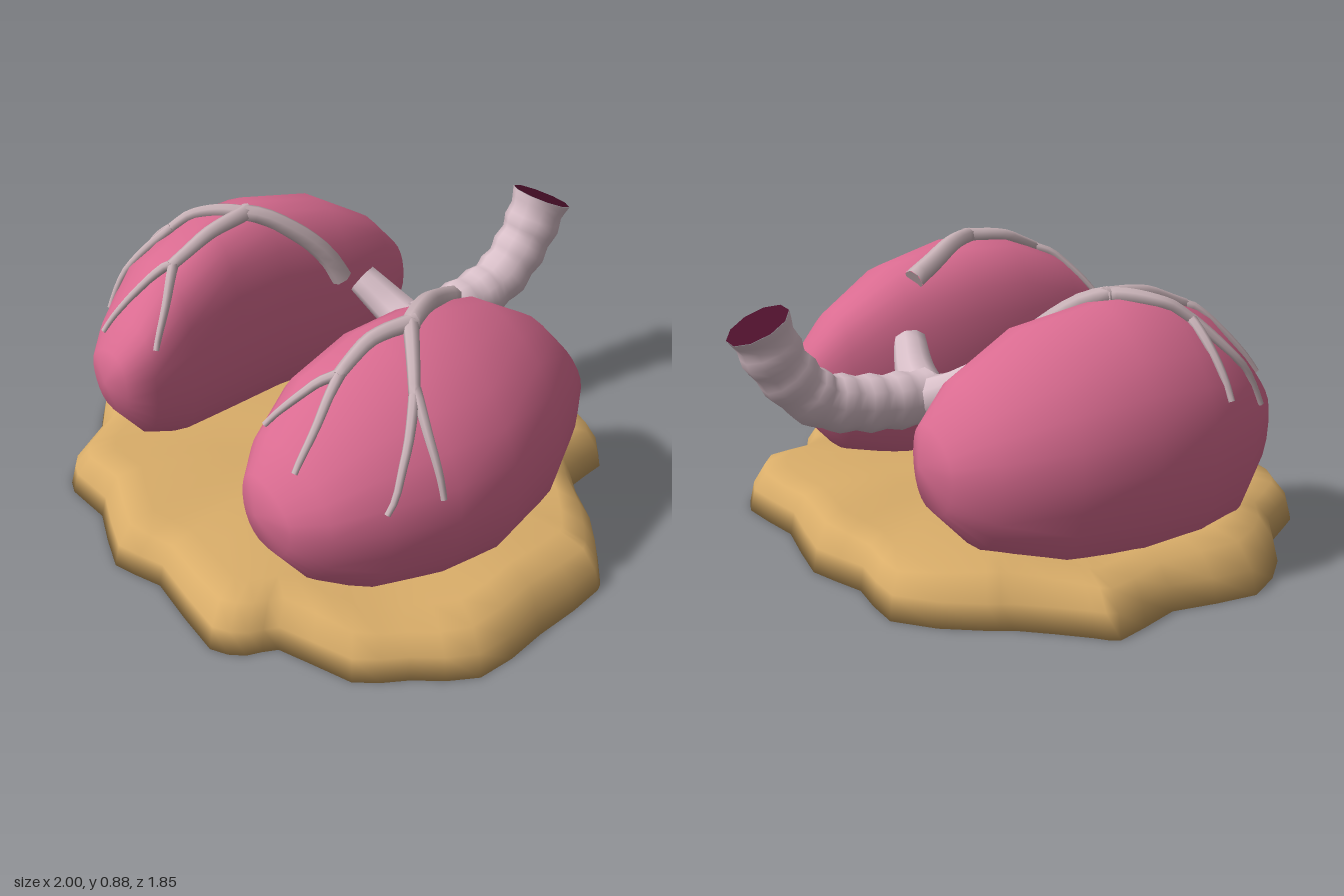
import * as THREE from 'three';
import { mergeVertices } from 'three/addons/utils/BufferGeometryUtils.js';

const V = (x, y, z) => new THREE.Vector3(x, y, z);
const material = (name, color) => {
  const m = new THREE.MeshStandardMaterial({ color });
  m.name = name;
  return m;
};

// Closed surface through equal-sized rings of points
function loft(rings) {
  const n = rings[0].length, index = [];
  for (let i = 0; i < rings.length - 1; i++) {
    for (let j = 0; j < n; j++) {
      const a = i * n + j, b = i * n + (j + 1) % n;
      index.push(a, b, a + n, b, b + n, a + n);
    }
  }
  const geo = new THREE.BufferGeometry().setFromPoints(rings.flat());
  geo.setIndex(index);
  const merged = mergeVertices(geo, 1e-4);
  merged.computeVertexNormals();
  return merged;
}

// Lung cross-sections: z, centre x, half width, top y, bottom y
const MID = 0.42;
const lungs = {
  rightLung: {
    lean: 0.07,
    sections: [
      [-0.53, -0.47, 0, 0.42, 0.42], [-0.5, -0.5, 0.12, 0.54, 0.28], [-0.4, -0.53, 0.2, 0.66, 0.17],
      [-0.2, -0.57, 0.275, 0.79, 0.09], [0.05, -0.6, 0.27, 0.845, 0.07], [0.25, -0.595, 0.275, 0.84, 0.07],
      [0.45, -0.555, 0.245, 0.755, 0.09], [0.6, -0.495, 0.185, 0.62, 0.18], [0.68, -0.475, 0.11, 0.53, 0.29],
      [0.71, -0.46, 0, 0.42, 0.42]],
    // Vessel paths over the surface: start radius, end radius, then x, z points
    vessels: [
      [0.038, 0.03, [-0.31, -0.16], [-0.4, 0], [-0.48, 0.12]],
      [0.03, 0.02, [-0.48, 0.1], [-0.465, 0.2], [-0.45, 0.43]],
      [0.018, 0.01, [-0.45, 0.42], [-0.5, 0.52], [-0.56, 0.64]],
      [0.018, 0.01, [-0.45, 0.42], [-0.38, 0.5], [-0.33, 0.58]],
      [0.026, 0.018, [-0.48, 0.12], [-0.58, 0.22], [-0.64, 0.32]],
      [0.018, 0.01, [-0.63, 0.31], [-0.72, 0.32], [-0.81, 0.34]],
      [0.018, 0.01, [-0.63, 0.31], [-0.7, 0.42], [-0.73, 0.52]]]
  },
  leftLung: {
    lean: -0.07,
    sections: [
      [-0.53, 0.41, 0, 0.42, 0.42], [-0.5, 0.42, 0.11, 0.54, 0.28], [-0.4, 0.43, 0.185, 0.66, 0.17],
      [-0.2, 0.455, 0.285, 0.79, 0.09], [0.05, 0.478, 0.337, 0.85, 0.07], [0.25, 0.468, 0.325, 0.84, 0.07],
      [0.45, 0.44, 0.28, 0.755, 0.09], [0.6, 0.425, 0.205, 0.62, 0.18], [0.68, 0.415, 0.12, 0.53, 0.29],
      [0.71, 0.4, 0, 0.42, 0.42]],
    vessels: [
      [0.038, 0.03, [0.26, -0.16], [0.3, -0.05], [0.4, 0.13]],
      [0.03, 0.02, [0.4, 0.11], [0.38, 0.27], [0.4, 0.4]],
      [0.018, 0.01, [0.4, 0.39], [0.35, 0.48], [0.28, 0.58]],
      [0.018, 0.01, [0.4, 0.39], [0.45, 0.51], [0.48, 0.62]],
      [0.026, 0.018, [0.39, 0.12], [0.51, 0.21], [0.59, 0.27]],
      [0.018, 0.01, [0.58, 0.26], [0.68, 0.29], [0.77, 0.3]],
      [0.018, 0.01, [0.58, 0.26], [0.66, 0.35], [0.72, 0.46]]]
  }
};

// Point of a lung section at angle a; the lower half is squarer
function lungPoint([z, cx, hw, top, bottom], lean, a) {
  const c = Math.cos(a), s = Math.sin(a);
  if (s >= 0) return V(cx + hw * (c + lean * 4 * s * s), MID + (top - MID) * s, z);
  return V(cx + hw * Math.sign(c) * Math.abs(c) ** 0.75, MID + (MID - bottom) * s, z);
}

// Point on the upper lung surface above x, z
function onLung({ sections, lean }, x, z) {
  const i = Math.max(1, sections.findIndex(s => s[0] >= z));
  const p = sections[i - 1], q = sections[i], t = (z - p[0]) / (q[0] - p[0]);
  const section = p.map((v, k) => v + (q[k] - v) * t);
  let lo = 0.2, hi = Math.PI - 0.2;
  for (let k = 0; k < 20; k++) {
    const a = (lo + hi) / 2;
    if (lungPoint(section, lean, a).x > x) lo = a; else hi = a;
  }
  return lungPoint(section, lean, lo).add(V(0, 0.008, 0));
}

// Tube with a varying radius and flat ends
function taperedTube(points, radiusAt, steps, sides) {
  const curve = new THREE.CatmullRomCurve3(points);
  const geo = new THREE.TubeGeometry(curve, steps, 1, sides);
  const pos = geo.attributes.position, v = V(0, 0, 0), rings = [];
  for (let i = 0; i <= steps; i++) {
    const c = curve.getPointAt(i / steps), r = radiusAt(i / steps), ring = [];
    for (let j = 0; j < sides; j++) {
      v.fromBufferAttribute(pos, i * (sides + 1) + j);
      ring.push(v.clone().sub(c).multiplyScalar(r).add(c));
    }
    rings.push(ring);
  }
  const group = new THREE.Group();
  const side = loft(rings.map(r => r.slice().reverse()));
  // Turn the wall outward if the ring order runs the other way
  const n = V(0, 0, 0).fromBufferAttribute(side.attributes.normal, 0);
  const p = V(0, 0, 0).fromBufferAttribute(side.attributes.position, 0);
  if (n.dot(p.sub(curve.getPointAt(0))) < 0) {
    side.setIndex(Array.from(side.index.array).reverse());
    side.computeVertexNormals();
  }
  return { group, side, curve };
}

function tubeMesh(name, mat, endMat, points, radiusAt, steps, sides) {
  const { group, side, curve } = taperedTube(points, radiusAt, steps, sides);
  group.name = name;
  group.add(new THREE.Mesh(side, mat));
  for (const [u, dir] of [[0, -1], [1, 1]]) {
    const cap = new THREE.Mesh(new THREE.CircleGeometry(radiusAt(u) * 0.99, sides), u ? endMat : mat);
    const t = curve.getTangentAt(u).multiplyScalar(dir);
    cap.position.copy(curve.getPointAt(u)).addScaledVector(t, 0.001);
    cap.quaternion.setFromUnitVectors(V(0, 0, 1), t);
    cap.name = name + 'End';
    group.add(cap);
  }
  return group;
}

// Scalloped base rim: x, z points
const rim = [
  [0.95, -0.2], [0.98, 0.08], [1, 0.34], [0.88, 0.51], [0.78, 0.65], [0.54, 0.74], [0.5, 0.83], [0.41, 0.9],
  [0.08, 0.87], [-0.09, 0.93], [-0.33, 0.84], [-0.5, 0.85], [-0.59, 0.8], [-0.69, 0.64], [-0.82, 0.55],
  [-0.97, 0.34], [-0.93, 0.06], [-1, -0.17], [-0.95, -0.23], [-0.8, -0.4], [-0.76, -0.47], [-0.57, -0.68],
  [-0.35, -0.67], [-0.16, -0.74], [0.14, -0.69], [0.39, -0.73], [0.51, -0.66], [0.53, -0.5], [0.76, -0.37],
  [0.92, -0.24]];

export function createModel() {
  const model = new THREE.Group();
  const pink = material('lung pink', 0xd96b90);
  const tan = material('base tan', 0xd9ad69);
  const pale = material('airway pale pink', 0xd9c0c9);
  const grey = material('vessel pinkish grey', 0xc9b3b8);
  const dark = material('dark opening', 0x4a0f2a);

  // Base slab, rings from the top centre out and down to the underside
  const outline = new THREE.CatmullRomCurve3(rim.map(([x, z]) => V(x, 0, z)), true, 'centripetal').getPoints(60).slice(0, 60);
  const slab = [[0, 0.16], [0.5, 0.16], [0.84, 0.168], [0.93, 0.145], [0.98, 0.08], [1, 0.005], [0, 0.005]];
  const base = new THREE.Mesh(loft(slab.map(([s, y]) => outline.map(p => {
    const bump = s > 0.8 && y > 0.1 ? 0.014 * Math.sin(7 * Math.atan2(p.z, p.x) + 1) : 0;
    return V(p.x * s, y + bump, p.z * s);
  }))), tan);
  base.name = 'base';
  model.add(base);

  // Lungs with their branching vessels
  for (const [name, lung] of Object.entries(lungs)) {
    const rings = lung.sections.map(s =>
      Array.from({ length: 24 }, (_, j) => lungPoint(s, lung.lean, j * Math.PI / 12)));
    const mesh = new THREE.Mesh(loft(rings), pink);
    mesh.name = name;
    model.add(mesh);
    for (const [r0, r1, ...path] of lung.vessels) {
      const flat = new THREE.SplineCurve(path.map(([x, z]) => new THREE.Vector2(x, z))).getPoints(6);
      model.add(tubeMesh(name + 'Vessel', grey, grey, flat.map(p => onLung(lung, p.x, p.y)),
        u => r0 + (r1 - r0) * u, 10, 7));
    }
  }

  // Ribbed windpipe with a dark open end
  model.add(tubeMesh('windpipe', pale, dark,
    [V(-0.035, 0.46, -0.27), V(-0.035, 0.475, -0.48), V(-0.035, 0.52, -0.65), V(-0.035, 0.64, -0.765), V(-0.035, 0.78, -0.833)],
    u => 0.09 + 0.005 * Math.cos(u * Math.PI * 14) + 0.01 * u ** 6, 28, 10));

  // Junction and the two bronchi
  const joint = new THREE.Mesh(new THREE.SphereGeometry(0.085, 10, 8), pale);
  joint.position.set(-0.035, 0.455, -0.27);
  joint.name = 'airwayJunction';
  model.add(joint);
  for (const [name, x] of [['rightBronchus', -0.255], ['leftBronchus', 0.2]]) {
    model.add(tubeMesh(name, pale, pale,
      [V(-0.035, 0.45, -0.27), V((x - 0.035) / 2, 0.5, -0.25), V(x, 0.575, -0.21)],
      u => 0.078 - 0.022 * u, 8, 9));
  }
  return model;
}
